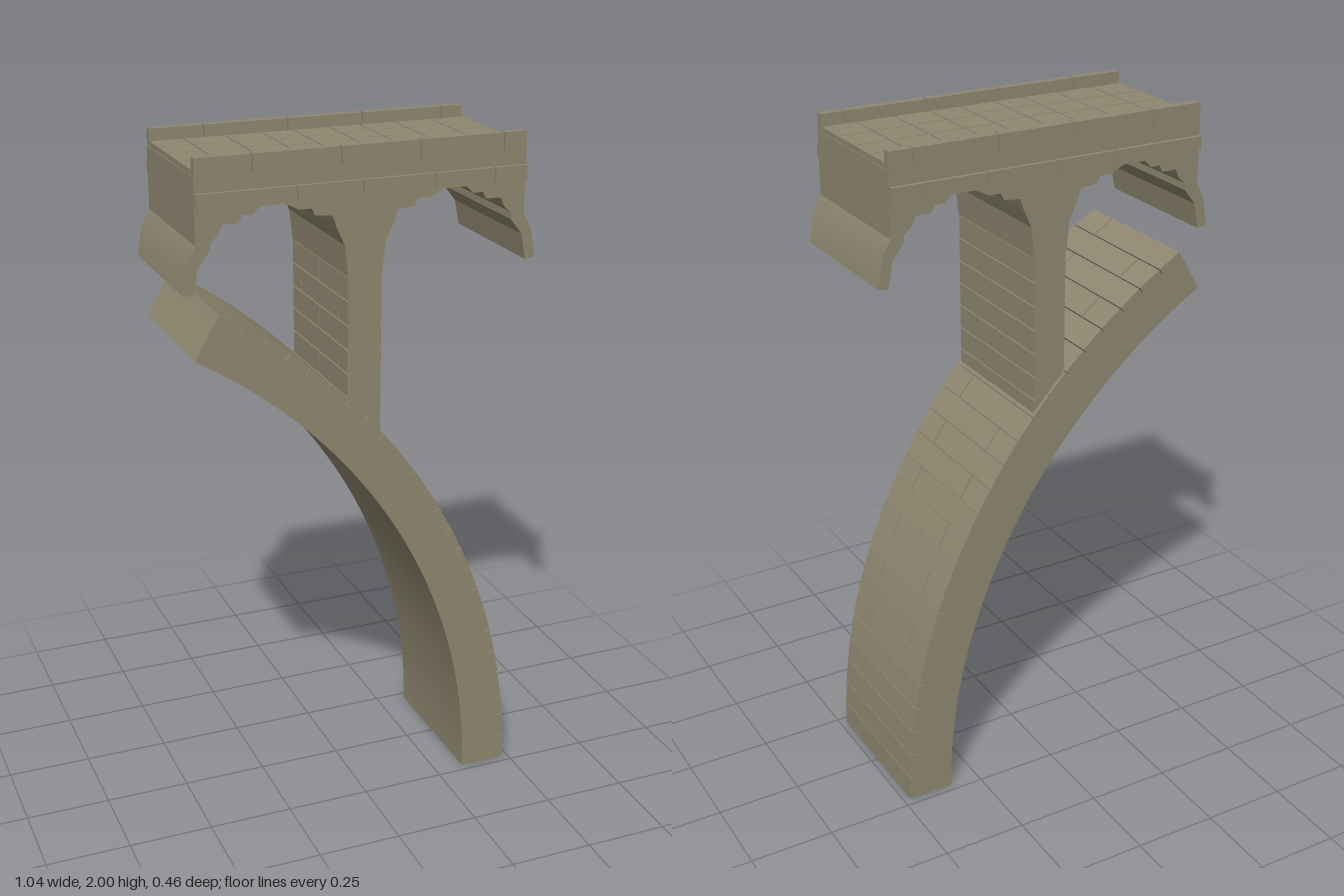
import * as THREE from 'three';
import { mergeGeometries, toCreasedNormals } from 'three/addons/utils/BufferGeometryUtils.js';

const stone = new THREE.MeshStandardMaterial({ color: 0x8f8770 });
stone.name = 'stone';

const GAP = 0.004; // open joint between blocks

// Box between two corners, shrunk by half a joint along the chosen axes
function block(x0, x1, y0, y1, z0, z1, gapAxes = '') {
  const size = (a, b, axis) => b - a - (gapAxes.includes(axis) ? GAP : 0);
  return new THREE.BoxGeometry(size(x0, x1, 'x'), size(y0, y1, 'y'), size(z0, z1, 'z'))
    .translate((x0 + x1) / 2, (y0 + y1) / 2, (z0 + z1) / 2);
}

function add(group, name, geometry) {
  const mesh = new THREE.Mesh(geometry, stone);
  mesh.name = name;
  group.add(mesh);
}

// Extrudes a profile in x/y, centred on z = 0
function extrude(shape, width, curveSegments = 1) {
  const geo = new THREE.ExtrudeGeometry(shape, { depth: width, bevelEnabled: false, curveSegments });
  return toCreasedNormals(geo.translate(0, 0, -width / 2), 0.3);
}

// Running row of blocks along x
function row(edges, y0, y1, z0, z1) {
  return edges.slice(1).map((x, i) => block(edges[i], x, y0, y1, z0, z1, 'x'));
}

export function createModel() {
  const model = new THREE.Group();
  model.name = 'ruinedBridge';

  // Great half arch: core ring with a skin of staggered blocks on its back
  const cx = -1.35, inner = 1.69, outer = 1.83, core = 1.81, halfZ = 0.226;
  const end = 59.6 * Math.PI / 180;
  const ring = new THREE.Shape();
  ring.absarc(cx, 0, core, 0, end, false);
  ring.absarc(cx, 0, inner, end, 0, true);
  ring.closePath();
  add(model, 'archCore', extrude(ring, halfZ * 2, 32));

  const courses = 24, step = end / courses;
  const skin = [];
  for (let i = 0; i < courses; i++) {
    const joint = i % 2 ? 0.12 : -0.12;
    const length = outer * step - 0.003;
    for (const [z0, z1] of [[-halfZ, joint], [joint, halfZ]]) {
      const depth = outer - core + 0.006;
      const outerGap = GAP / 2;
      const z0g = z0 === joint ? z0 + outerGap : z0;
      const z1g = z1 === joint ? z1 - outerGap : z1;
      skin.push(block(outer - depth, outer, -length / 2, length / 2, z0g, z1g)
        .rotateZ((i + 0.5) * step).translate(cx, 0, 0));
    }
  }
  add(model, 'archBackBlocks', mergeGeometries(skin));

  // Pier with coursed facing on both sides
  add(model, 'pierCore', block(-0.045, 0.045, 1.14, 1.7, -0.215, 0.215));
  const facing = [];
  const rise = 0.07;
  for (let i = 0; i < 7; i++) {
    const y = 1.15 + i * rise;
    const cuts = i % 2 ? [-0.215, -0.145, 0.145, 0.215] : [-0.215, 0, 0.215];
    for (const side of [-1, 1]) {
      const xs = [side * 0.04, side * 0.05].sort((a, b) => a - b);
      cuts.slice(1).forEach((z, k) => facing.push(block(...xs, y, y + rise, cuts[k], z, 'y' + (cuts.length > 2 ? 'z' : ''))));
    }
  }
  add(model, 'pierFacing', mergeGeometries(facing));

  // Twin-arched body with broken arch stubs at both ends
  const half = [
    [0.48, 1.95], [0.48, 1.77], [0.505, 1.72], [0.52, 1.64], [0.49, 1.635], [0.475, 1.71],
    [0.44, 1.755], [0.44, 1.775], [0.42, 1.79], [0.405, 1.82], [0.36, 1.82], [0.35, 1.84],
    [0.32, 1.84], [0.30, 1.86], [0.23, 1.86], [0.19, 1.84], [0.155, 1.84], [0.145, 1.82],
    [0.095, 1.815], [0.085, 1.785], [0.06, 1.73], [0.05, 1.64],
  ];
  const outline = [...half, ...half.map(([x, y]) => [-x, y]).reverse()];
  const body = new THREE.Shape(outline.map(([x, y]) => new THREE.Vector2(x, y)));
  add(model, 'archedBody', extrude(body, 0.43));

  // Paving slabs
  const columns = [-0.48, -0.38, -0.26, -0.15, -0.055, 0.055, 0.15, 0.26, 0.375, 0.48];
  const sideRows = [-0.19, -0.105, -0.015, 0.085, 0.19];
  const middleRows = [-0.19, -0.09, 0.002, 0.105, 0.19];
  const slabs = [];
  columns.slice(1).forEach((x, i) => {
    const rows = i === 3 || i === 4 ? middleRows : sideRows;
    rows.slice(1).forEach((z, k) => slabs.push(block(columns[i], x, 1.945, 1.966, rows[k], z, 'xz')));
  });
  add(model, 'pavingSlabs', mergeGeometries(slabs));

  // Parapets and projecting string courses
  const parapetEdges = [-0.48, -0.32, -0.07, 0.16, 0.41, 0.48];
  const courseEdges = [-0.48, -0.2, -0.01, 0.2, 0.38, 0.48];
  for (const side of [1, -1]) {
    const span = (a, b) => [side * a, side * b].sort((p, q) => p - q);
    const label = side > 0 ? 'front' : 'back';
    add(model, label + 'Parapet', mergeGeometries(row(parapetEdges, 1.905, 2, ...span(0.192, 0.217))));
    add(model, label + 'StringCourse', mergeGeometries(row(courseEdges, 1.87, 1.908, ...span(0.205, 0.229))));
  }
  return model;
}
